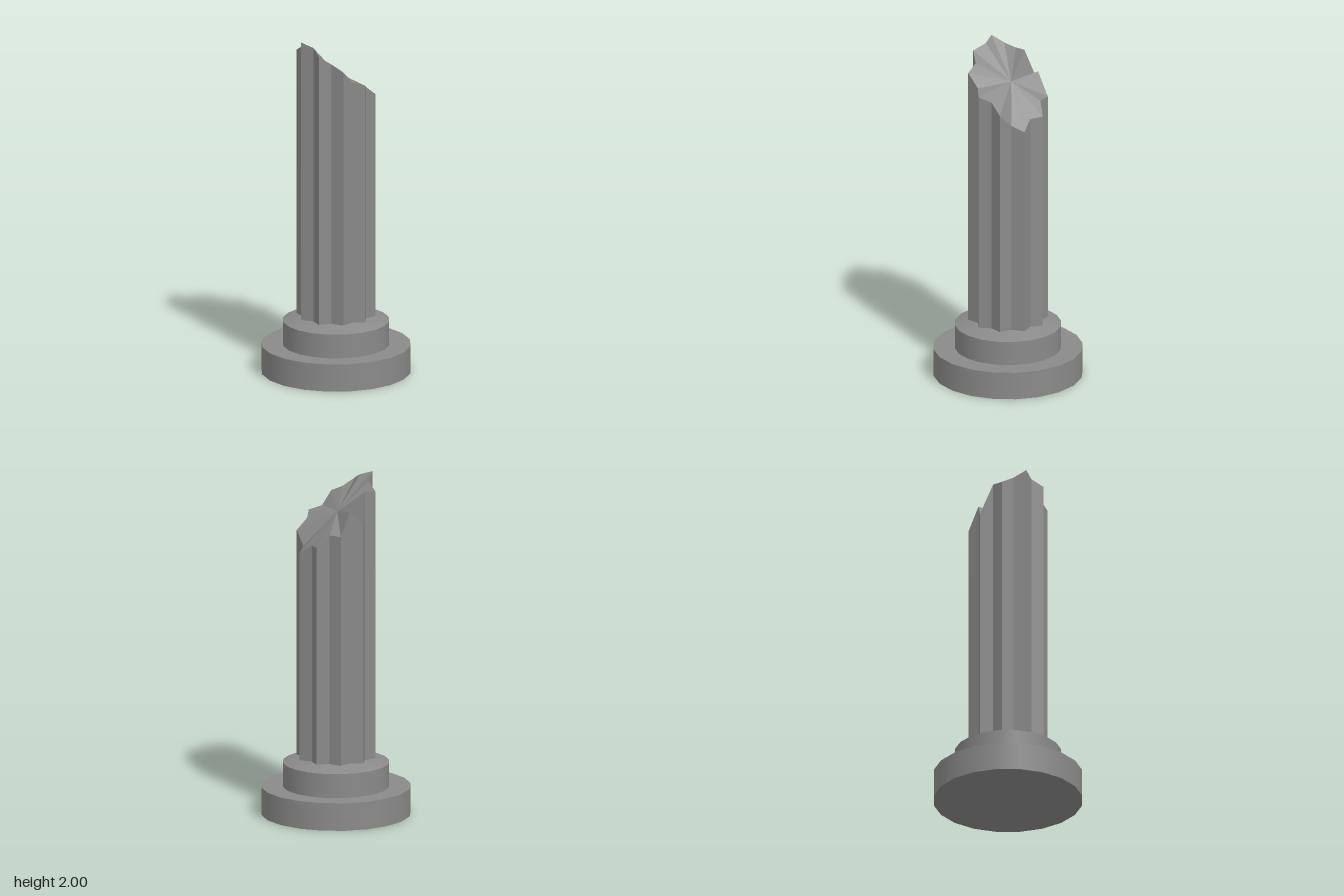
import * as THREE from 'three';
import { mergeVertices } from 'three/addons/utils/BufferGeometryUtils.js';

const SIDES = 20;
const TIP = 0.23, VALLEY = 0.19;
// Height of the broken rim at each flute corner, from the front round towards +x
const BREAK = [
  1.94, 1.89, 1.855, 1.78, 1.755, 1.725, 1.665, 1.59, 1.56, 1.615,
  1.62, 1.69, 1.69, 1.825, 1.74, 1.925, 1.915, 1.96, 2.0, 1.975,
];

// Ring of points; radius and height are functions of the corner index
function ring(radius, height) {
  return Array.from({ length: SIDES }, (_, i) => {
    const a = (i / SIDES) * Math.PI * 2;
    return new THREE.Vector3(Math.sin(a) * radius(i), height(i), Math.cos(a) * radius(i));
  });
}

// Geometry from a list of triangle corners, with shared normals
function surface(points) {
  const g = mergeVertices(new THREE.BufferGeometry().setFromPoints(points));
  g.computeVertexNormals();
  return g;
}

// Wall between a lower and an upper ring, diagonals mirrored about each tip
function wall(lower, upper) {
  return surface(lower.flatMap((a, i) => {
    const j = (i + 1) % SIDES;
    const b = lower[j], c = upper[j], d = upper[i];
    return i % 2 ? [a, b, c, a, c, d] : [a, b, d, b, c, d];
  }));
}

// Fan from a centre point to a ring
function fan(centre, rim) {
  return surface(rim.flatMap((a, i) => [centre, a, rim[(i + 1) % SIDES]]));
}

export function createModel() {
  const group = new THREE.Group();
  const color = 0x8a8a8a;
  const smooth = new THREE.MeshStandardMaterial({ color });
  const flat = new THREE.MeshStandardMaterial({ color, flatShading: true });
  const add = (name, geometry, material) => {
    const mesh = new THREE.Mesh(geometry, material);
    mesh.name = name;
    group.add(mesh);
    return mesh;
  };

  // Stepped round base
  add('basePlinth', new THREE.CylinderGeometry(0.432, 0.432, 0.163, SIDES), smooth).position.y = 0.0815;
  add('baseDrum', new THREE.CylinderGeometry(0.308, 0.308, 0.142, SIDES, 1, true), smooth).position.y = 0.234;

  // Sloping collar from the drum to the fluted shaft
  const star = (i) => (i % 2 ? VALLEY : TIP);
  const foot = ring(star, () => 0.335);
  add('collar', wall(ring(() => 0.308, () => 0.305), foot), smooth);

  // Fluted shaft and its jagged break
  const rim = ring(star, (i) => BREAK[i]);
  add('shaft', wall(foot, rim), flat);
  add('brokenTop', fan(new THREE.Vector3(-0.015, 1.79, -0.012), rim), flat);

  return group;
}
